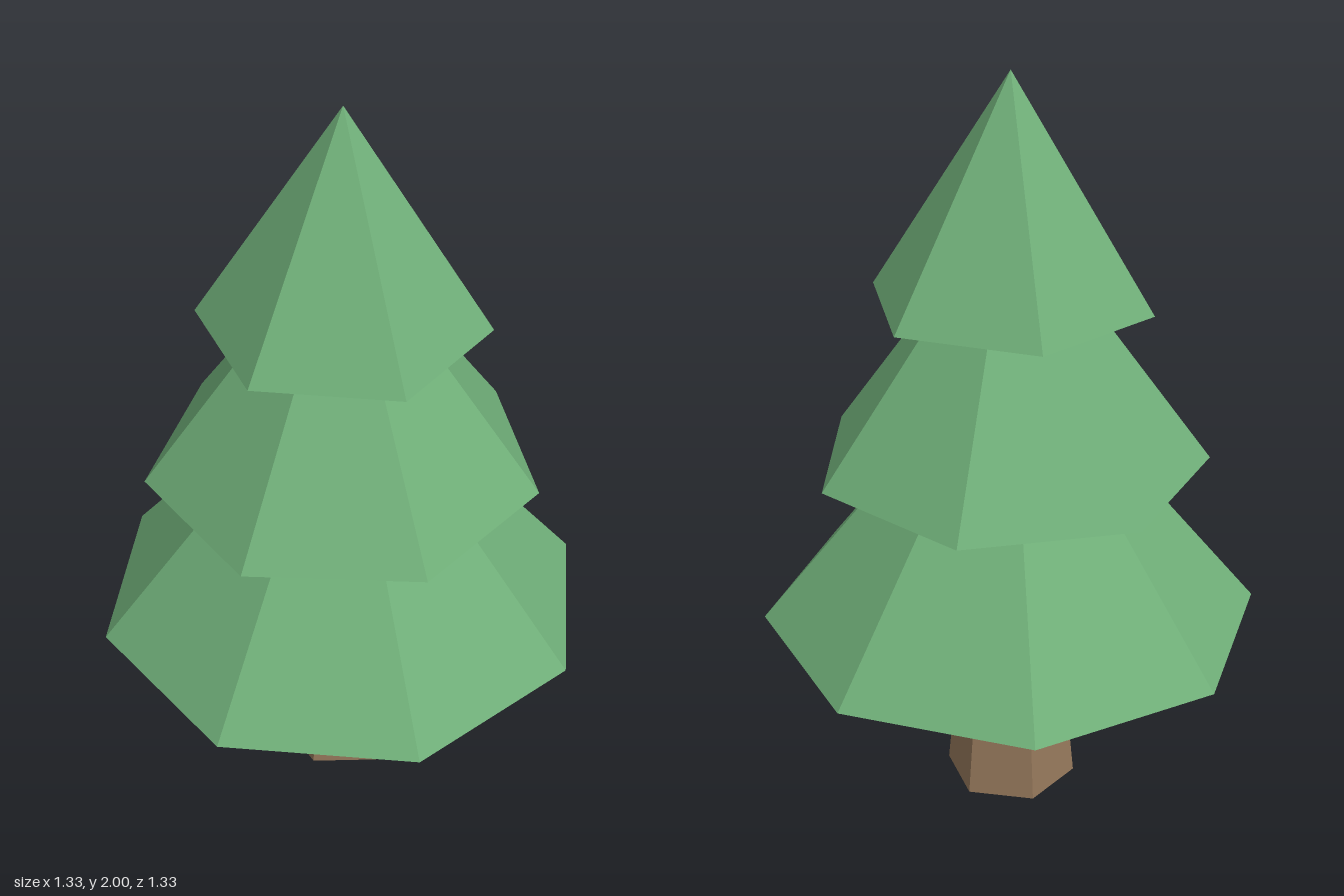
import * as THREE from 'three';

export function createModel() {
  const tree = new THREE.Group();
  tree.name = 'pineTree';

  const foliage = new THREE.MeshStandardMaterial({ color: 0x6fae78, flatShading: true });
  foliage.name = 'foliage green';
  const bark = new THREE.MeshStandardMaterial({ color: 0x94775a, flatShading: true });
  bark.name = 'bark brown';

  // Tapered six-sided trunk, its top tucked into the lowest tier
  const trunkHeight = 0.56;
  const trunk = new THREE.Mesh(new THREE.CylinderGeometry(0.126, 0.18, trunkHeight, 6), bark);
  trunk.name = 'trunk';
  trunk.position.y = trunkHeight / 2;
  tree.add(trunk);

  // Foliage cones, each with fewer sides than the one below
  const tiers = [
    { name: 'lowerTier', radius: 0.667, bottom: 0.525, top: 1.335, sides: 8, turn: 0 },
    { name: 'middleTier', radius: 0.52, bottom: 0.983, top: 1.69, sides: 7, turn: 0 },
    { name: 'upperTier', radius: 0.372, bottom: 1.42, top: 2, sides: 6, turn: 0.9 },
  ];
  for (const { name, radius, bottom, top, sides, turn } of tiers) {
    const tier = new THREE.Mesh(new THREE.ConeGeometry(radius, top - bottom, sides), foliage);
    tier.name = name;
    tier.position.y = (bottom + top) / 2;
    tier.rotation.y = turn;
    tree.add(tier);
  }

  return tree;
}
